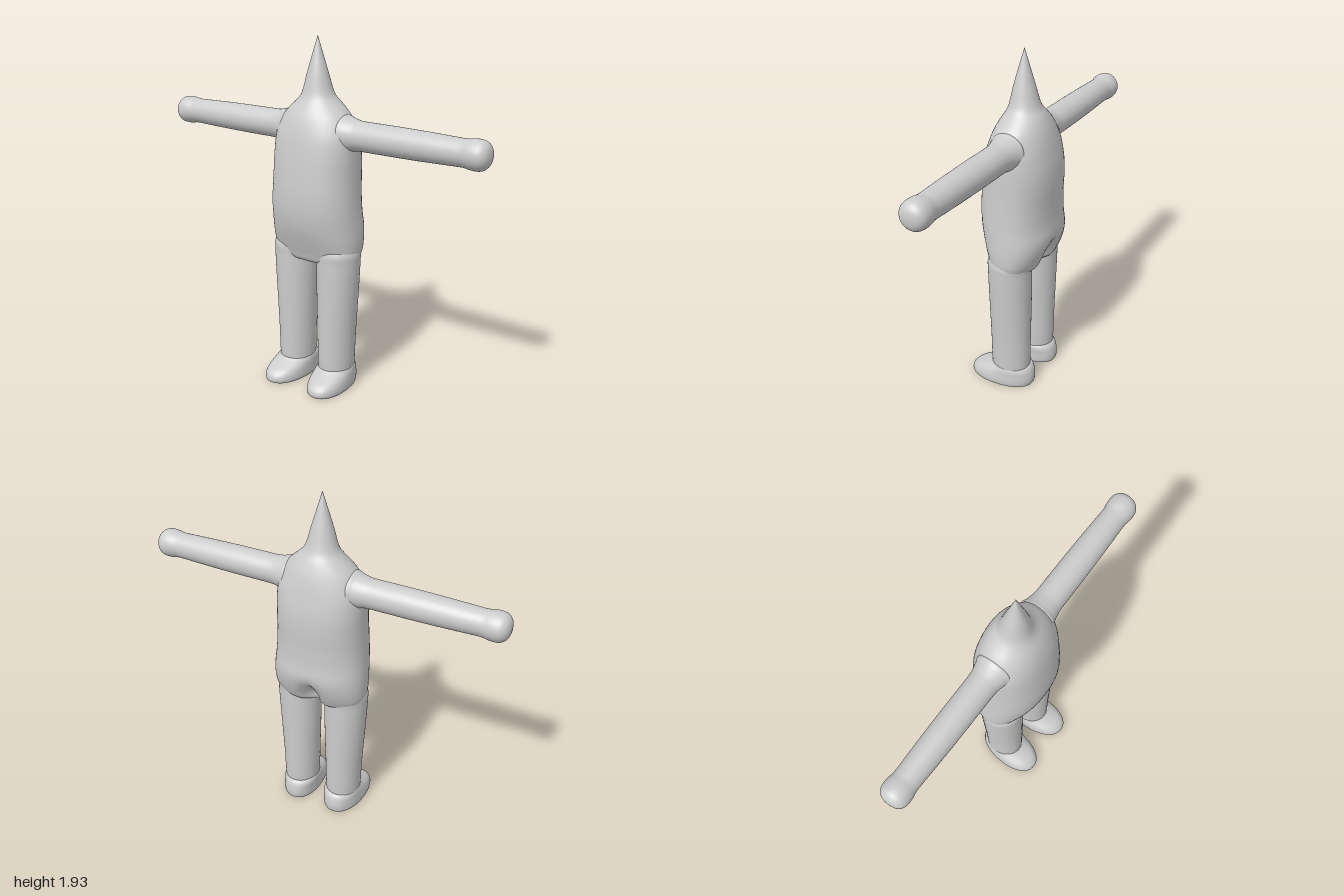
import * as THREE from 'three';

const SEG = 48;

// Catmull-Rom refinement of a list of cross-sections
function refine(rows, steps) {
  const out = [];
  for (let i = 0; i < rows.length - 1; i++) {
    const [a, b, c, d] = [-1, 0, 1, 2].map(k => rows[Math.min(Math.max(i + k, 0), rows.length - 1)]);
    for (let s = 0; s < steps; s++) {
      const t = s / steps;
      out.push(b.map((v, k) => 0.5 * (2 * v + (c[k] - a[k]) * t
        + (2 * a[k] - 5 * v + 4 * c[k] - d[k]) * t * t
        + (3 * v - a[k] - 3 * c[k] + d[k]) * t * t * t)));
    }
  }
  out.push(rows[rows.length - 1]);
  return out;
}

// Skin over cross-sections [height, centre x, half width, front z, back z, roundness]
function loft(rows, steps = 4, deform = null) {
  const rings = refine(rows, steps), pos = [], idx = [];
  const power = (v, n) => Math.sign(v) * Math.pow(Math.abs(v), 2 / n);
  const p = new THREE.Vector3();
  for (const [y, cx, rx, zf, zb, n = 2] of rings) {
    for (let j = 0; j < SEG; j++) {
      const a = j / SEG * Math.PI * 2;
      p.set(cx + Math.max(rx, 0) * power(Math.cos(a), n), y, (zf + zb) / 2 + (zf - zb) / 2 * power(Math.sin(a), n));
      if (deform) deform(p);
      pos.push(p.x, p.y, p.z);
    }
  }
  for (let i = 0; i < rings.length - 1; i++) {
    for (let j = 0; j < SEG; j++) {
      const a = i * SEG + j, b = i * SEG + (j + 1) % SEG;
      idx.push(a, a + SEG, b, b, a + SEG, b + SEG);
    }
  }
  const g = new THREE.BufferGeometry();
  g.setAttribute('position', new THREE.Float32BufferAttribute(pos, 3));
  g.setIndex(idx);
  g.computeVertexNormals();
  return g;
}

// Mirror a geometry across x, keeping faces outward
function mirror(geometry) {
  const g = geometry.clone().scale(-1, 1, 1);
  const ix = g.index.array;
  for (let i = 0; i < ix.length; i += 3) [ix[i], ix[i + 1]] = [ix[i + 1], ix[i]];
  g.computeVertexNormals();
  return g;
}

export function createModel() {
  const model = new THREE.Group();
  model.name = 'figure';
  const grey = new THREE.MeshStandardMaterial({ color: 0xcccccc });
  grey.name = 'light grey';

  const add = (name, geometry) => {
    const mesh = new THREE.Mesh(geometry, grey);
    mesh.name = name;
    model.add(mesh);
  };
  const addPair = (name, geometry) => {
    add('left' + name, geometry);
    add('right' + name, mirror(geometry));
  };

  // Torso, running up into the pointed head, with a crease at the seat
  const torso = [
    [0.72, 0, 0, -0.02, -0.02, 2],
    [0.722, 0, 0.12, 0.06, -0.09, 2.2],
    [0.74, 0, 0.23, 0.092, -0.14, 2.4],
    [0.78, 0, 0.258, 0.108, -0.168, 2.4],
    [0.85, 0, 0.264, 0.135, -0.197, 2.4],
    [0.93, 0, 0.261, 0.162, -0.215, 2.3],
    [1.02, 0, 0.254, 0.178, -0.207, 2.3],
    [1.12, 0, 0.248, 0.181, -0.206, 2.3],
    [1.22, 0, 0.244, 0.174, -0.21, 2.3],
    [1.32, 0, 0.242, 0.163, -0.206, 2.3],
    [1.42, 0, 0.235, 0.147, -0.189, 2.2],
    [1.5, 0, 0.208, 0.124, -0.17, 2],
    [1.55, 0, 0.168, 0.1, -0.152, 2],
    [1.59, 0, 0.125, 0.076, -0.133, 2],
    [1.635, 0, 0.088, 0.057, -0.106, 2],
    [1.73, 0, 0.06, 0.036, -0.078, 2],
    [1.83, 0, 0.03, 0.009, -0.049, 2],
    [1.93, 0, 0, -0.02, -0.02, 2],
  ];
  add('torsoAndPointedHead', loft(torso, 4, p => {
    if (p.z < -0.05) {
      const fade = Math.exp(-Math.pow((p.y - 0.79) / 0.085, 2));
      p.z += 0.075 * fade * Math.exp(-Math.pow(p.x / 0.045, 2));
    }
  }));

  // Arm, wrist and rounded hand, lofted upright and laid along x
  const arm = [
    [0.1, 0.06], [0.17, 0.1], [0.205, 0.092], [0.24, 0.083], [0.28, 0.078], [0.38, 0.0775],
    [0.5, 0.077], [0.64, 0.075], [0.76, 0.072], [0.83, 0.07], [0.87, 0.07], [0.9, 0.075],
    [0.93, 0.077], [0.96, 0.073], [0.982, 0.058], [0.995, 0.034], [1, 0],
  ].map(([x, r]) => [x, -1.437, r, -0.024 + r, -0.024 - r]);
  addPair('Arm', loft(arm).rotateZ(-Math.PI / 2));

  // Leg
  addPair('Leg', loft([
    [0.06, 0.135, 0.09, 0.09, -0.12],
    [0.12, 0.135, 0.097, 0.095, -0.129],
    [0.3, 0.136, 0.103, 0.097, -0.131],
    [0.5, 0.139, 0.112, 0.1, -0.134],
    [0.66, 0.142, 0.118, 0.102, -0.136],
    [0.74, 0.143, 0.12, 0.102, -0.136],
    [0.8, 0.142, 0.119, 0.1, -0.135],
    [0.88, 0.13, 0.09, 0.06, -0.1],
  ]));

  // Foot with a flat sole, toes turned slightly outward
  const turnOut = p => { p.x += 0.05 * p.z; };
  const sole = [0, 0.138, 0.103, 0.215, -0.152, 2.2];
  addPair('Foot', loft([
    sole,
    [0.015, 0.138, 0.107, 0.221, -0.157, 2.2],
    [0.04, 0.138, 0.107, 0.214, -0.159, 2.2],
    [0.065, 0.137, 0.105, 0.186, -0.156, 2.2],
    [0.085, 0.136, 0.103, 0.145, -0.151, 2.2],
    [0.102, 0.135, 0.1, 0.112, -0.143, 2.1],
    [0.114, 0.135, 0.094, 0.092, -0.128, 2],
    [0.116, 0.135, 0.07, 0.06, -0.09, 2],
  ], 4, turnOut));
  addPair('Sole', loft([[0, 0.138, 0, 0.03, 0.03, 2.2], sole], 1, turnOut));

  return model;
}
